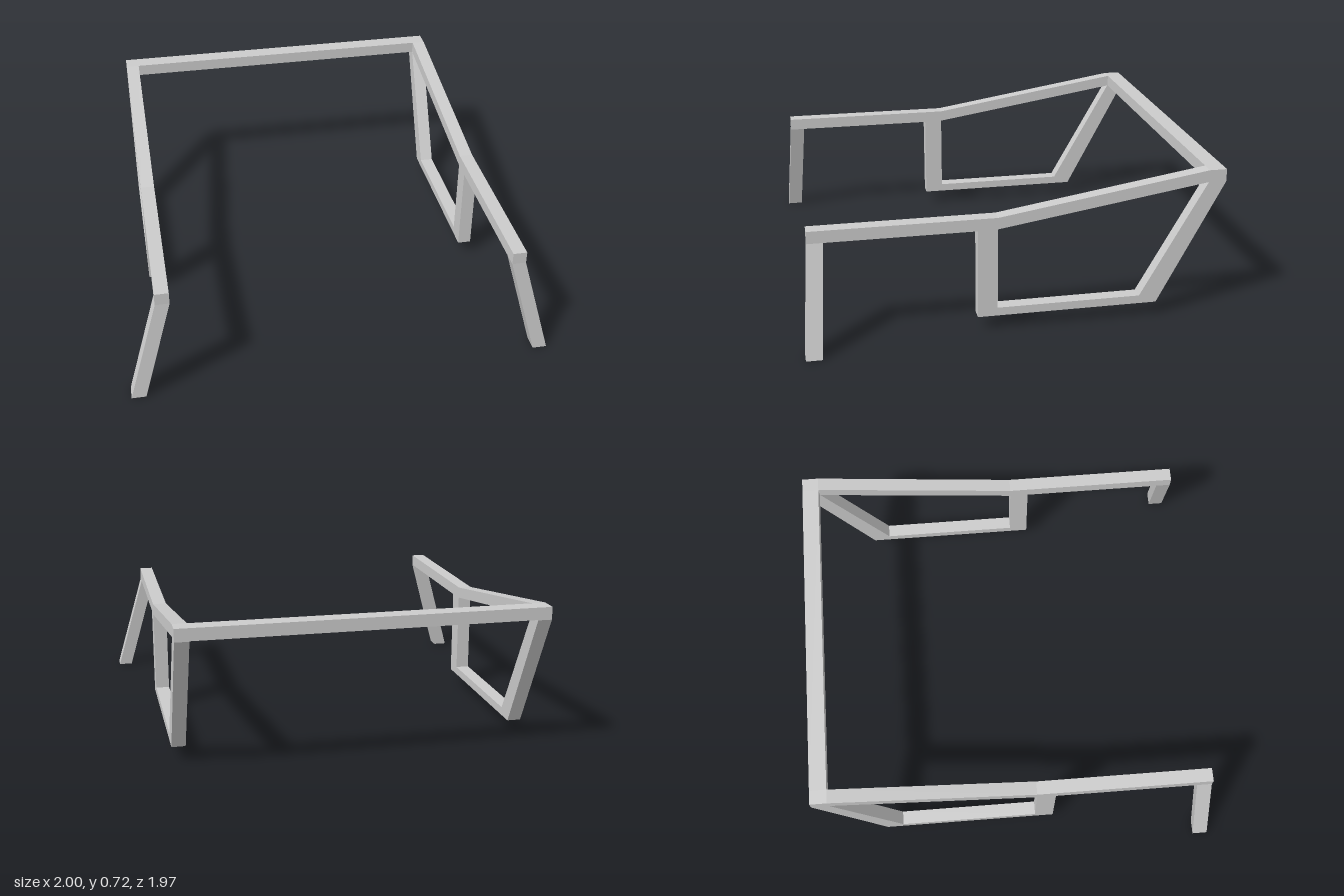
import * as THREE from 'three';

const material = new THREE.MeshStandardMaterial({ color: 0xcccccc, flatShading: true, side: THREE.DoubleSide });
const INNER = 0.79, OUTER = 0.856;

// Flat walls joining two matching rings of [x, y, z] corners; listed edges stay open
function walls(ringA, ringB, open = []) {
  const p = [];
  ringA.forEach((a, i) => {
    if (open.includes(i)) return;
    const j = (i + 1) % ringA.length;
    p.push(...a, ...ringA[j], ...ringB[j], ...a, ...ringB[j], ...ringB[i]);
  });
  const g = new THREE.BufferGeometry();
  g.setAttribute('position', new THREE.Float32BufferAttribute(p, 3));
  g.computeVertexNormals();
  return g;
}

// Places a side profile of [z, y] points at a given x
const at = (profile, x) => profile.map(([z, y]) => [x, y, z]);

function add(parent, name, geometry) {
  const mesh = new THREE.Mesh(geometry, material);
  mesh.name = name;
  parent.add(mesh);
  return mesh;
}

// Side profile: rail, sloping rear rail, slanted strut, lower bar and post
const outline = [
  [0.95, 0.56], [0.09, 0.56], [-0.905, 0.72], [-0.987, 0.72], [-0.987, 0.66],
  [-0.677, 0.07], [0.183, 0.07], [0.183, 0.502], [0.877, 0.502], [0.95, 0.502],
];
const opening = [[0.09, 0.504], [0.09, 0.11], [-0.593, 0.11], [-0.903, 0.662]];

function sideFrame() {
  const group = new THREE.Group();
  const toVectors = (pts) => pts.map(([z, y]) => new THREE.Vector2(z, y));
  const shape = new THREE.Shape(toVectors(outline));
  shape.holes.push(new THREE.Path(toVectors(opening)));

  // Inner and outer faces
  const inner = new THREE.ShapeGeometry(shape).rotateY(-Math.PI / 2);
  const outer = inner.clone();
  outer.index.array.reverse();
  outer.computeVertexNormals();
  add(group, 'frameInnerFace', inner.translate(INNER, 0, 0));
  add(group, 'frameOuterFace', outer.translate(OUTER, 0, 0));

  // Edges, open along the underside of the lower bar and above the leg
  add(group, 'frameEdges', walls(at(outline, OUTER), at(outline, INNER), [5, 8]));
  add(group, 'openingEdges', walls(at(opening, OUTER), at(opening, INNER)));

  // Splayed front leg, open at the foot
  const ring = (x0, x1, y, z0, z1) => [[x0, y, z1], [x1, y, z1], [x1, y, z0], [x0, y, z0]];
  add(group, 'frontLeg', walls(
    ring(0.932, 1, 0, 0.911, 0.985),
    ring(INNER, OUTER, 0.502, 0.877, 0.95)));
  return group;
}

export function createModel() {
  const model = new THREE.Group();
  model.name = 'frame';

  // Two mirrored sides
  for (const side of [1, -1]) {
    const group = sideFrame();
    group.name = side > 0 ? 'leftSide' : 'rightSide';
    group.scale.x = side;
    model.add(group);
  }

  // Rear crossbar between the sides
  const section = [[-0.905, 0.662], [-0.987, 0.662], [-0.987, 0.72], [-0.905, 0.72]];
  add(model, 'rearCrossbar', walls(at(section, -INNER), at(section, INNER)));
  return model;
}
